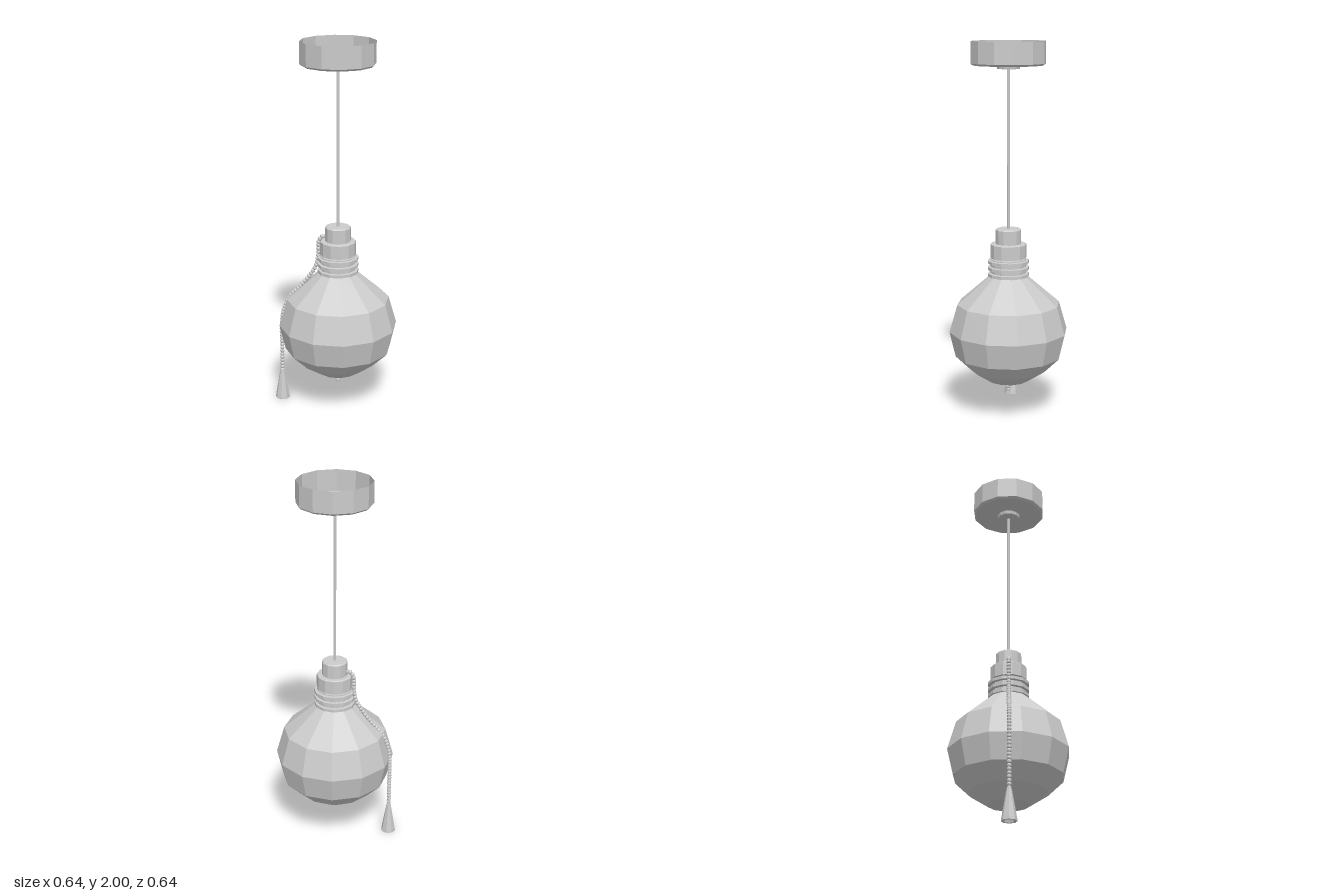
import * as THREE from 'three';

const SIDES = 12;
const metal = new THREE.MeshStandardMaterial({ color: 0xcccccc, flatShading: true });
const thin = new THREE.MeshStandardMaterial({ color: 0xcccccc, flatShading: true, side: THREE.DoubleSide });

// Faceted turned part; profile is [radius, height] from bottom to top
function turned(name, profile, sides = SIDES, material = metal) {
  const points = profile.map(([r, y]) => new THREE.Vector2(r, y));
  const mesh = new THREE.Mesh(new THREE.LatheGeometry(points, sides), material);
  mesh.name = name;
  return mesh;
}

export function createModel() {
  const lamp = new THREE.Group();
  lamp.name = 'pendantLamp';

  // Ceiling cup, open at the top, with a small recessed boss underneath
  lamp.add(turned('ceilingCup', [
    [0, 1.857], [0.06, 1.857], [0.063, 1.875], [0.187, 1.875], [0.198, 1.885], [0.198, 2],
  ], SIDES, thin));

  // Hanging cord
  lamp.add(turned('cord', [[0.008, 1.0], [0.008, 1.86]], 8));

  // Socket: cap above a wider collar
  lamp.add(turned('socketCap', [
    [0, 0.92], [0.069, 0.92], [0.069, 1.008], [0.063, 1.014], [0, 1.014],
  ]));
  lamp.add(turned('socketCollar', [
    [0, 0.857], [0.097, 0.857], [0.097, 0.93], [0.092, 0.934], [0, 0.934],
  ]));

  // Screw neck with three raised threads
  lamp.add(turned('screwNeck', [[0.096, 0.745], [0.096, 0.85], [0, 0.85]]));
  for (let i = 0; i < 3; i++) {
    const y = 0.765 + i * 0.035;
    lamp.add(turned('screwThread', [
      [0.09, y - 0.011], [0.111, y - 0.008], [0.111, y + 0.008], [0.09, y + 0.011],
    ]));
  }

  // Glass bulb
  lamp.add(turned('bulb', [
    [0, 0.15], [0.11, 0.178], [0.205, 0.24], [0.288, 0.32], [0.32, 0.455],
    [0.277, 0.605], [0.1, 0.758], [0.09, 0.77],
  ]));

  // Finial under the bulb
  lamp.add(turned('finial', [
    [0, 0.113], [0.01, 0.115], [0.013, 0.122], [0.01, 0.13], [0.011, 0.134],
    [0.019, 0.139], [0.019, 0.148], [0.012, 0.158],
  ], 8));

  // Pull chain draped over the bulb, laid out in its own radial plane
  const pull = new THREE.Group();
  pull.name = 'pullChain';
  const path = new THREE.CatmullRomCurve3([
    [0.066, 0.955], [0.088, 0.952], [0.104, 0.925], [0.106, 0.86], [0.115, 0.8], [0.14, 0.75],
    [0.198, 0.675], [0.268, 0.598], [0.3, 0.52], [0.31, 0.44], [0.31, 0.3], [0.31, 0.165],
  ].map(([r, y]) => new THREE.Vector3(-0.667 * r, y, 0.745 * r)), false, 'centripetal');
  const beadShape = new THREE.SphereGeometry(0.012, 8, 6);
  const beads = Math.round(path.getLength() / 0.019);
  for (let i = 0; i <= beads; i++) {
    const bead = new THREE.Mesh(beadShape, metal);
    bead.name = 'chainBead';
    bead.position.copy(path.getPointAt(i / beads));
    pull.add(bead);
  }

  // Hollow bell-shaped handle at the end of the chain
  const handle = turned('pullHandle', [
    [0, 0.1], [0.03, 0], [0.04, 0], [0.038, 0.015], [0.013, 0.16], [0.009, 0.17], [0, 0.17],
  ], 8, thin);
  handle.position.set(-0.207, 0, 0.231);
  pull.add(handle);
  lamp.add(pull);

  return lamp;
}
